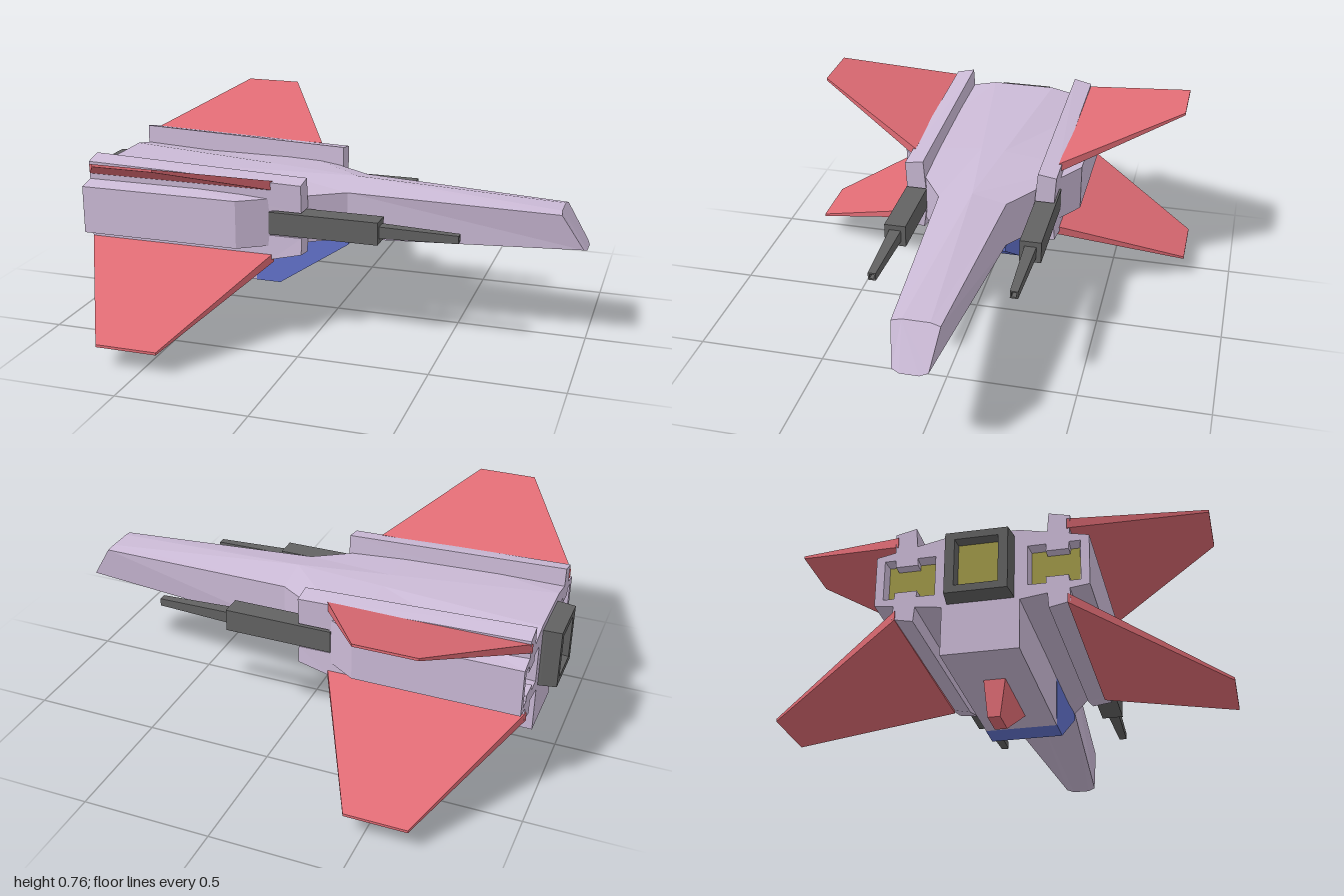
import * as THREE from 'three';

const COLORS = { hull: 0xcbbad6, red: 0xdf6b74, blue: 0x6272cc, dark: 0x626262, glow: 0xa09848 };
const paint = (name, open) => new THREE.MeshStandardMaterial({
  color: COLORS[name], flatShading: true, side: open ? THREE.DoubleSide : THREE.FrontSide });

// Skin a list of equal-length closed loops of [x, y, z] points, with optional end caps
function loft(name, color, loops, { capStart = true, capEnd = true, open = false } = {}) {
  const tris = [], n = loops[0].length;
  for (let s = 0; s < loops.length - 1; s++) {
    for (let i = 0; i < n; i++) {
      const j = (i + 1) % n, a = loops[s], b = loops[s + 1];
      tris.push([a[i], b[i], b[j]], [a[i], b[j], a[j]]);
    }
  }
  const first = loops[0], last = loops[loops.length - 1];
  for (let i = 1; i < n - 1; i++) {
    if (capStart) tris.push([first[0], first[i], first[i + 1]]);
    if (capEnd) tris.push([last[0], last[i + 1], last[i]]);
  }
  // The sign of the volume tells whether the faces point outward
  const ref = new THREE.Vector3();
  first.forEach((p) => ref.add(new THREE.Vector3(...p).divideScalar(n)));
  let volume = 0;
  const solid = tris.filter((t) => {
    const [a, b, c] = t.map((p) => new THREE.Vector3(...p).sub(ref));
    volume += a.dot(b.clone().cross(c));
    return b.clone().sub(a).cross(c.clone().sub(a)).length() > 1e-9;
  });
  if (volume < 0) solid.forEach((t) => t.reverse());
  const geo = new THREE.BufferGeometry();
  geo.setAttribute('position', new THREE.Float32BufferAttribute(solid.flat(2), 3));
  geo.computeVertexNormals();
  const mesh = new THREE.Mesh(geo, paint(color, open));
  mesh.name = name;
  return mesh;
}

// Upright rectangle across the ship at station x
const rect = (x, y, z, hy, hz) =>
  [[x, y - hy, z - hz], [x, y - hy, z + hz], [x, y + hy, z + hz], [x, y + hy, z - hz]];

// Half outline of [x, y, z] points from top to bottom, mirrored to a full ring
const mirrorRing = (half) => [...half, ...half.map(([x, y, z]) => [x, y, -z]).reverse()];
const station = (x, ...pts) => mirrorRing(pts.map(([z, y]) => [x, y, z]));

export function createModel() {
  const ship = new THREE.Group();
  ship.name = 'starfighter';

  // Hull: wide engine section narrowing to a long nose
  const rear = station(-0.93, [0.13, 0.595], [0.37, 0.545], [0.37, 0.357], [0.13, 0.325]);
  ship.add(loft('hull', 'hull', [
    rear,
    station(-0.29, [0.048, 0.582], [0.37, 0.545], [0.37, 0.357], [0.048, 0.332]),
    station(0.08, [0, 0.575], [0.135, 0.545], [0.135, 0.36], [0, 0.335]),
    mirrorRing([[0.89, 0.527, 0.05], [0.895, 0.52, 0.087], [0.98, 0.385, 0.065], [0.99, 0.376, 0.035]]),
  ], { capStart: false }));

  // Rear bulkhead with an opening for each side engine
  const wall = new THREE.Shape(rear.map(([, y, z]) => new THREE.Vector2(z, y)));
  const ey = 0.452, ez = 0.25, ehy = 0.075, ehz = 0.09;
  for (const side of [1, -1]) {
    wall.holes.push(new THREE.Path(
      rect(0, ey, side * ez, ehy, ehz).map(([, y, z]) => new THREE.Vector2(z, y))));
  }
  const bulkhead = new THREE.Mesh(new THREE.ShapeGeometry(wall).rotateY(-Math.PI / 2), paint('hull', true));
  bulkhead.position.x = -0.93;
  bulkhead.name = 'rearBulkhead';
  ship.add(bulkhead);

  // Central engine: hollow square nozzle with a glowing back plate
  ship.add(loft('centreNozzle', 'dark', [
    rect(-0.9, 0.452, 0, 0.118, 0.115), rect(-0.94, 0.452, 0, 0.118, 0.115),
    rect(-1, 0.452, 0, 0.115, 0.108), rect(-1, 0.452, 0, 0.088, 0.075),
    rect(-0.96, 0.452, 0, 0.08, 0.068),
  ]));
  const plate = (name, x, z, h, w) => {
    const mesh = new THREE.Mesh(new THREE.BoxGeometry(0.01, h, w), paint('glow'));
    mesh.position.set(x, ey, z);
    mesh.name = name;
    ship.add(mesh);
  };
  plate('centreEngineGlow', -0.964, 0, 0.16, 0.136);

  // Belly housing and its blue sloped front
  ship.add(loft('belly', 'hull', [rect(-0.93, 0.25, 0, 0.105, 0.134), rect(-0.3, 0.25, 0, 0.105, 0.134)]));
  const bellyFront = [[-0.3, 0.145], [-0.2, 0.145], [0.085, 0.335], [0.085, 0.355], [-0.3, 0.355]];
  ship.add(loft('bellyCockpit', 'blue', [-0.135, 0.135].map((z) => bellyFront.map(([x, y]) => [x, y, z]))));

  // Ventral fin, thinner towards its lower edge
  const fin = [[-0.72, 0.005, 0.022], [-0.615, 0.005, 0.022], [-0.38, 0.16, 0.04], [-0.72, 0.16, 0.04]];
  ship.add(loft('ventralFin', 'red', [1, -1].map((s) => fin.map(([x, y, t]) => [x, y, s * t]))));

  for (const side of [1, -1]) {
    const label = side > 0 ? 'left' : 'right';
    const flip = (loop) => loop.map(([x, y, z]) => [x, y, side * z]);
    const add = (part, color, loops, options) =>
      ship.add(loft(label + part, color, loops.map(flip), options));

    // Side engine recess and glow
    add('EngineRecess', 'hull', [rect(-0.93, ey, ez, ehy, ehz), rect(-0.89, ey, ez, ehy - 0.008, ehz - 0.008)],
      { capStart: false, capEnd: false, open: true });
    plate(label + 'EngineGlow', -0.888, side * ez, 2 * ehy, 2 * ehz);

    // Wing root rails above and below the hull
    const rail = (x, base, inner, outer) =>
      [[x, base, 0.222], [x, inner, 0.232], [x, outer, 0.306], [x, base, 0.3]];
    add('UpperRail', 'hull', [rail(-0.93, 0.5, 0.647, 0.63), rail(-0.05, 0.5, 0.62, 0.608)]);
    add('LowerRail', 'hull', [rail(-0.93, 0.4, 0.283, 0.298), rail(-0.17, 0.4, 0.29, 0.305),
      rail(-0.05, 0.4, 0.325, 0.335)]);

    // Swept tapered wings: root loop to thin tip
    const wing = (x0, x1, yTop, yLow, z) =>
      [[x0, yTop, z], [x1, yTop, z], [x1, yLow, z], [x0, yLow, z]];
    add('UpperWing', 'red', [wing(-0.935, -0.165, 0.615, 0.578, 0.295), wing(-0.665, -0.435, 0.763, 0.753, 0.758)]);
    add('LowerWing', 'red', [wing(-0.935, -0.165, 0.328, 0.293, 0.295), wing(-0.67, -0.43, 0.094, 0.084, 0.806)]);

    // Cannon: square body, tapering barrel and hollow muzzle
    add('Cannon', 'dark', [
      rect(-0.18, 0.45, 0.264, 0.044, 0.042), rect(0.25, 0.45, 0.264, 0.044, 0.042),
      rect(0.25, 0.45, 0.264, 0.023, 0.023), rect(0.55, 0.45, 0.264, 0.015, 0.015),
      rect(0.55, 0.45, 0.264, 0.009, 0.009), rect(0.52, 0.45, 0.264, 0.009, 0.009),
    ]);
  }
  return ship;
}
